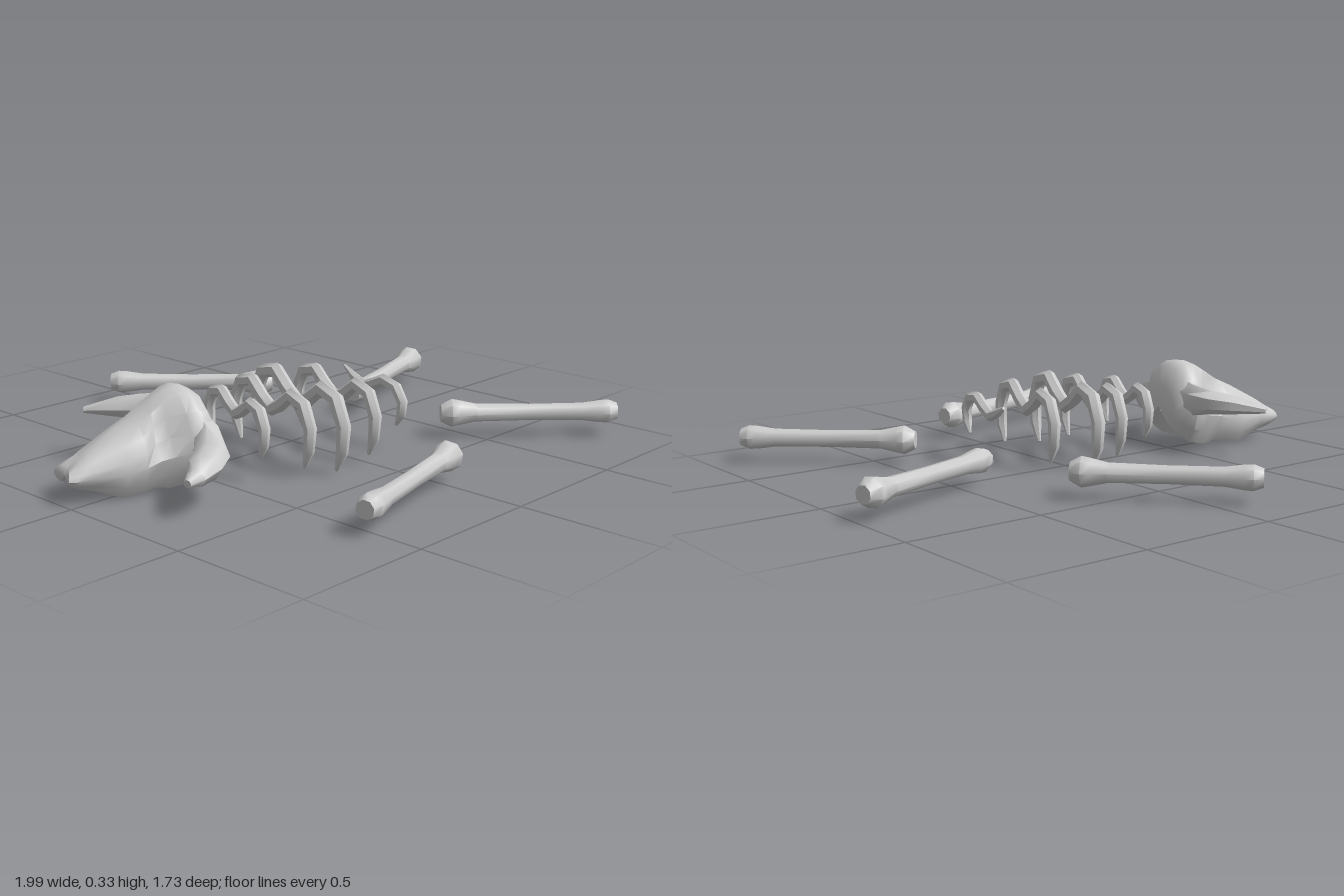
import * as THREE from 'three';
import { toCreasedNormals } from 'three/addons/utils/BufferGeometryUtils.js';

const V = (x, y, z) => new THREE.Vector3(x, y, z);
const material = new THREE.MeshStandardMaterial({ color: 0xcccccc, side: THREE.DoubleSide });

// Skins a list of equal-length rings and closes both ends with fans.
function skin(rings, crease) {
  const n = rings[0].length, pos = [], index = [];
  rings.forEach(r => r.forEach(p => pos.push(p.x, p.y, p.z)));
  for (let i = 0; i < rings.length - 1; i++)
    for (let j = 0; j < n; j++) {
      const a = i * n + j, b = i * n + (j + 1) % n;
      index.push(a, b, a + n, b, b + n, a + n);
    }
  [0, rings.length - 1].forEach((r, end) => {
    const c = V(0, 0, 0);
    rings[r].forEach(p => c.addScaledVector(p, 1 / n));
    const k = pos.length / 3;
    pos.push(c.x, c.y, c.z);
    for (let j = 0; j < n; j++) {
      const a = r * n + j, b = r * n + (j + 1) % n;
      if (end) index.push(k, a, b); else index.push(k, b, a);
    }
  });
  const g = new THREE.BufferGeometry();
  g.setAttribute('position', new THREE.Float32BufferAttribute(pos, 3));
  g.setIndex(index);
  return toCreasedNormals(g, crease);
}

// Sweeps an oval along points; sizes are [half width, half thickness].
function sweep(points, sizes, sides, fixedSide) {
  const rings = points.map((p, i) => {
    const t = points[Math.min(i + 1, points.length - 1)].clone()
      .sub(points[Math.max(i - 1, 0)]).normalize();
    const e1 = fixedSide ? fixedSide.clone() : t.clone().cross(V(0, 1, 0)).normalize();
    const e2 = t.clone().cross(e1);
    return Array.from({ length: sides }, (_, j) => {
      const a = (j + 0.5) / sides * Math.PI * 2;
      return p.clone().addScaledVector(e1, Math.cos(a) * sizes[i][0])
        .addScaledVector(e2, Math.sin(a) * sizes[i][1]);
    });
  });
  return skin(rings, 0.9);
}

function add(parent, name, geometry) {
  const m = new THREE.Mesh(geometry, material);
  m.name = name;
  parent.add(m);
  return m;
}

// Long bone: thin shaft with a knuckle at each end.
function addBone(parent, name, x0, z0, x1, z1) {
  const a = V(x0, 0.1, z0), b = V(x1, 0.1, z1), len = a.distanceTo(b);
  const profile = [[0, 0], [0.032, 0], [0.044, 0.05], [0.042, 0.1], [0.033, 0.2], [0.031, 0.5],
    [0.034, 0.8], [0.047, 0.89], [0.053, 0.94], [0.032, 1], [0, 1]]
    .map(([r, t]) => new THREE.Vector2(r, (t - 0.5) * len));
  const m = add(parent, name, toCreasedNormals(new THREE.LatheGeometry(profile, 8), 0.8));
  m.position.copy(a).add(b).multiplyScalar(0.5);
  m.quaternion.setFromUnitVectors(V(0, 1, 0), b.sub(a).normalize());
}

// Rib pair: two arches joined by a dip over the spine, with pointed tips.
// A count below 13 breaks the second arch off.
function addRib(parent, x0, z0, x1, z1, low, high, scale, count = 13) {
  const half = [[0.82, 0], [0.93, 0.25], [0.96, 0.58], [0.8, 0.88], [0.5, 0.95], [0.24, 0.76]];
  const path = [...half, [0, 0.64], ...half.map(([s, y]) => [-s, y]).reverse()].slice(0, count);
  const pts = path.map(([s, y]) => V(
    x0 + (x1 - x0) * (1 - s) / 2, low + (high - low) * y, z0 + (z1 - z0) * (1 - s) / 2));
  const width = [0.006, 0.019, 0.022, 0.023, 0.023, 0.023, 0.023];
  const sizes = path.map((_, i) => {
    const w = width[Math.min(i, path.length - 1 - i)] * scale;
    return [w, w * 1.1];
  });
  const side = V(x1 - x0, 0, z1 - z0).cross(V(0, 1, 0)).normalize();
  add(parent, 'ribPair', sweep(pts, sizes, 6, side));
}

function addSkull(parent) {
  const skull = new THREE.Group();
  skull.name = 'skull';
  parent.add(skull);

  // Cranium sections from muzzle to nape: [along, half width, bottom, top, socket dent]
  const sections = [[0, 0.06, 0.07, 0.13, 0], [0.06, 0.072, 0.06, 0.145, 0],
    [0.18, 0.08, 0.05, 0.17, 0], [0.4, 0.105, 0.01, 0.225, 0], [0.54, 0.115, 0.02, 0.255, 0],
    [0.64, 0.125, 0.03, 0.285, 0.35], [0.74, 0.13, 0.02, 0.315, 0.3], [0.84, 0.16, 0.03, 0.335, 0],
    [0.92, 0.175, 0.04, 0.34, 0], [1.0, 0.165, 0.07, 0.32, 0], [1.08, 0.12, 0.11, 0.25, 0]];
  // Half outline from crown to hollow palate: [across, height]
  const right = [[0.42, 0.96], [0.76, 0.8], [0.96, 0.58], [1, 0.4], [0.86, 0.18], [0.62, 0],
    [0.46, 0.1]];
  const outline = [[0, 1], ...right, [0, 0.4], ...right.map(([u, v]) => [-u, v]).reverse()];
  const rings = sections.map(([t, w, bottom, top, dent]) => outline.map(([u, v]) => {
    const socket = v > 0.5 && v < 0.9 ? 1 - dent : 1;
    const across = u * w * socket;
    // The muzzle tip is notched between its two prongs
    const notch = t < 0.1 ? 0.035 * (1 - Math.abs(u)) : 0;
    return V(-0.98 + 0.45 * t - 0.24 * across + notch, bottom + (top - bottom) * v,
      -0.07 + 0.11 * t + 0.97 * across);
  }));
  add(skull, 'cranium', skin(rings, 0.8));

  // Curved horns, one on each side of the crown
  add(skull, 'rightHorn', sweep(
    [V(-0.54, 0.21, -0.03), V(-0.52, 0.21, -0.12), V(-0.535, 0.21, -0.2),
      V(-0.58, 0.205, -0.27), V(-0.65, 0.19, -0.365)],
    [[0.05, 0.08], [0.043, 0.06], [0.053, 0.045], [0.045, 0.035], [0.014, 0.012]], 7));
  add(skull, 'leftHorn', sweep(
    [V(-0.56, 0.2, 0.08), V(-0.58, 0.18, 0.18), V(-0.63, 0.155, 0.25),
      V(-0.7, 0.145, 0.295), V(-0.77, 0.135, 0.33), V(-0.815, 0.13, 0.34)],
    [[0.05, 0.08], [0.052, 0.065], [0.06, 0.052], [0.056, 0.047], [0.034, 0.03], [0.014, 0.014]], 7));
}

export function createModel() {
  const model = new THREE.Group();
  model.name = 'scatteredSkeleton';
  addSkull(model);

  // Rib cage, from the skull end to the tail end; the last pair is broken
  const ribs = new THREE.Group();
  ribs.name = 'ribCage';
  model.add(ribs);
  [[-0.4, 0.265, -0.305, -0.11, 0.09, 0.27, 0.9],
    [-0.265, 0.345, -0.16, -0.13, 0.04, 0.285, 1],
    [-0.17, 0.41, -0.035, -0.15, 0.02, 0.3, 1.1],
    [-0.005, 0.405, 0.1, -0.07, 0.04, 0.285, 1],
    [0.175, 0.375, 0.29, -0.1, 0.1, 0.255, 0.85, 9]].forEach(r => addRib(ribs, ...r));

  // Four loose limb bones
  addBone(model, 'backLimbBone', -0.135, -0.85, 0.29, -0.385);
  addBone(model, 'leftBackLimbBone', 0.39, -0.055, 0.985, -0.24);
  addBone(model, 'leftFrontLimbBone', 0.875, 0.8, 0.41, 0.355);
  addBone(model, 'frontLimbBone', -0.55, 0.825, 0.07, 0.675);
  return model;
}
